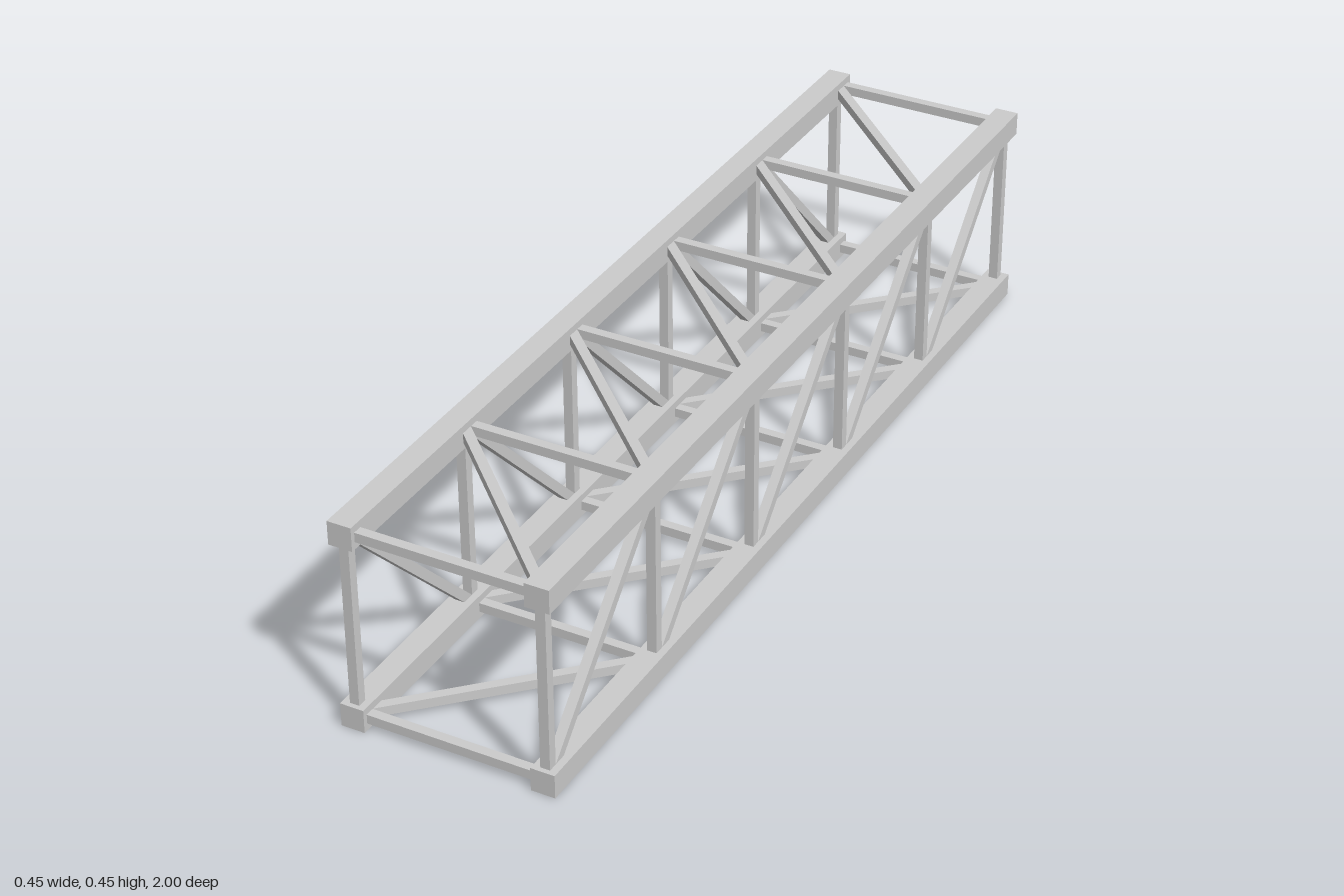
import * as THREE from 'three';

const material = new THREE.MeshStandardMaterial({ color: 0xcccccc, flatShading: true });
const HALF = 0.2;        // chord centre line, sideways
const LOW = 0.025;       // chord centre heights
const HIGH = 0.425;
const BAYS = 5;
const END = 0.98;        // z of the end frames
const BAR = 0.02;        // thickness of the web members

// Square bar running between two points
function bar(name, a, b, size = BAR) {
  const from = new THREE.Vector3(...a);
  const to = new THREE.Vector3(...b);
  const mesh = new THREE.Mesh(new THREE.BoxGeometry(size, size, from.distanceTo(to)), material);
  mesh.position.addVectors(from, to).multiplyScalar(0.5);
  mesh.lookAt(to);
  mesh.name = name;
  return mesh;
}

export function createModel() {
  const model = new THREE.Group();
  model.name = 'boxTruss';

  // Four full-length corner chords
  for (const x of [-HALF, HALF]) {
    for (const y of [LOW, HIGH]) model.add(bar('chord', [x, y, -1], [x, y, 1], 0.05));
  }

  const station = (i) => END - (2 * END * i) / BAYS;

  // Rectangular frames: two posts and two cross bars
  for (let i = 0; i <= BAYS; i++) {
    const z = station(i);
    const frame = new THREE.Group();
    frame.name = 'frame';
    for (const x of [-HALF, HALF]) frame.add(bar('post', [x, LOW, z], [x, HIGH, z]));
    for (const y of [LOW, HIGH]) frame.add(bar('crossBar', [-HALF, y, z], [HALF, y, z]));
    model.add(frame);
  }

  // One diagonal per face in each bay, opposite faces leaning opposite ways
  for (let i = 0; i < BAYS; i++) {
    const front = station(i);
    const back = station(i + 1);
    const bracing = new THREE.Group();
    bracing.name = 'bracing';
    bracing.add(
      bar('leftDiagonal', [HALF, LOW, front], [HALF, HIGH, back]),
      bar('rightDiagonal', [-HALF, HIGH, front], [-HALF, LOW, back]),
      bar('topDiagonal', [HALF, HIGH, front], [-HALF, HIGH, back]),
      bar('bottomDiagonal', [-HALF, LOW, front], [HALF, LOW, back]),
    );
    model.add(bracing);
  }

  return model;
}
